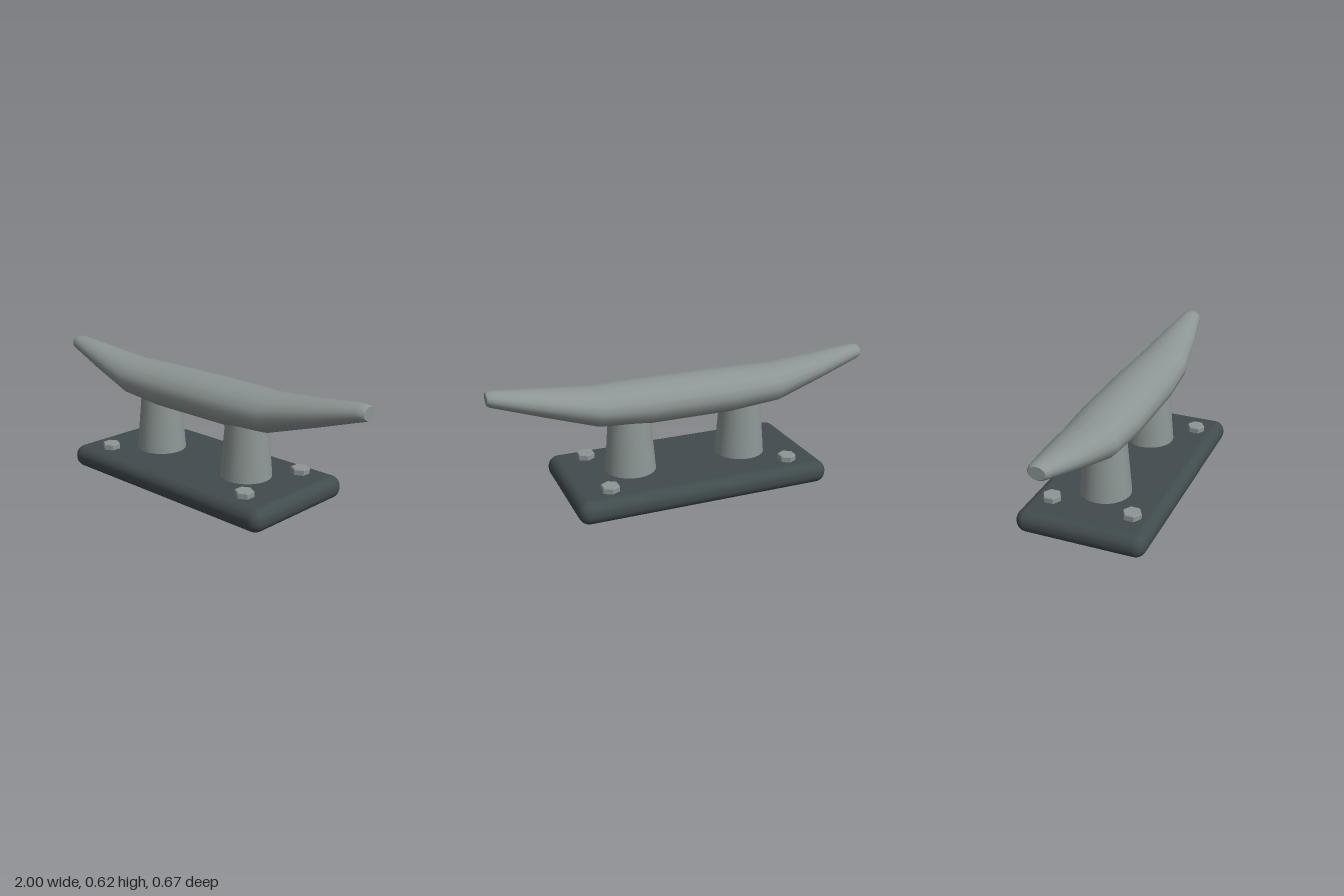
import * as THREE from 'three';
import { RoundedBoxGeometry } from 'three/addons/geometries/RoundedBoxGeometry.js';
import { toCreasedNormals } from 'three/addons/utils/BufferGeometryUtils.js';

const steel = new THREE.MeshStandardMaterial({ color: 0x8c9694 });
const darkIron = new THREE.MeshStandardMaterial({ color: 0x414c4e });

// Loft of elliptical sections along x; each station is [x, centreY, halfHeight, halfWidth]
function loftAlongX(stations, sides) {
  const pos = [], index = [];
  for (const [x, cy, h, w] of stations) {
    for (let i = 0; i < sides; i++) {
      const a = (i / sides) * Math.PI * 2;
      pos.push(x, cy + h * Math.sin(a), w * Math.cos(a));
    }
  }
  const last = stations.length - 1;
  for (let s = 0; s < last; s++) {
    for (let i = 0; i < sides; i++) {
      const j = (i + 1) % sides;
      const a = s * sides + i, b = s * sides + j;
      index.push(a, a + sides, b, b, a + sides, b + sides);
    }
  }
  // flat end caps
  const c0 = pos.length / 3;
  pos.push(stations[0][0], stations[0][1], 0, stations[last][0], stations[last][1], 0);
  for (let i = 0; i < sides; i++) {
    const j = (i + 1) % sides;
    index.push(c0, i, j, c0 + 1, last * sides + j, last * sides + i);
  }
  const geo = new THREE.BufferGeometry();
  geo.setAttribute('position', new THREE.Float32BufferAttribute(pos, 3));
  geo.setIndex(index);
  return toCreasedNormals(geo, 0.6);
}

function addMesh(parent, name, geometry, material, x, y, z) {
  const mesh = new THREE.Mesh(geometry, material);
  mesh.name = name;
  mesh.position.set(x, y, z);
  parent.add(mesh);
  return mesh;
}

export function createModel() {
  const model = new THREE.Group();
  model.name = 'mooringCleat';

  // Rounded mounting plate
  addMesh(model, 'basePlate', new RoundedBoxGeometry(1.326, 0.117, 0.666, 4, 0.055), darkIron, 0, 0.0585, 0);

  // Horn bar: thick in the middle, tapering upward to both tips
  const half = [
    [0.22, 0.472, 0.11, 0.158],
    [0.48, 0.48, 0.097, 0.143],
    [0.75, 0.536, 0.066, 0.1],
    [0.965, 0.583, 0.042, 0.057],
    [0.99, 0.586, 0.037, 0.049],
    [1.0, 0.587, 0.031, 0.04],
  ];
  const mirrored = half.map(([x, ...rest]) => [-x, ...rest]).reverse();
  addMesh(model, 'hornBar', loftAlongX([...mirrored, [0, 0.472, 0.11, 0.158], ...half], 16), steel, 0, 0, 0);

  // Tapered posts and hexagonal bolt heads
  const post = new THREE.CylinderGeometry(0.103, 0.131, 0.33, 24);
  const boltProfile = [[0, 0], [0.048, 0], [0.048, 0.032], [0.044, 0.037], [0, 0.037]]
    .map(([r, y]) => new THREE.Vector2(r, y));
  const bolt = toCreasedNormals(new THREE.LatheGeometry(boltProfile, 6), 0.3);
  for (const side of [1, -1]) {
    const label = side > 0 ? 'left' : 'right';
    addMesh(model, label + 'Post', post, steel, side * 0.305, 0.275, 0);
    for (const z of [0.21, -0.21]) {
      addMesh(model, label + (z > 0 ? 'Front' : 'Back') + 'Bolt', bolt, steel, side * 0.48, 0.11, z);
    }
  }
  return model;
}
